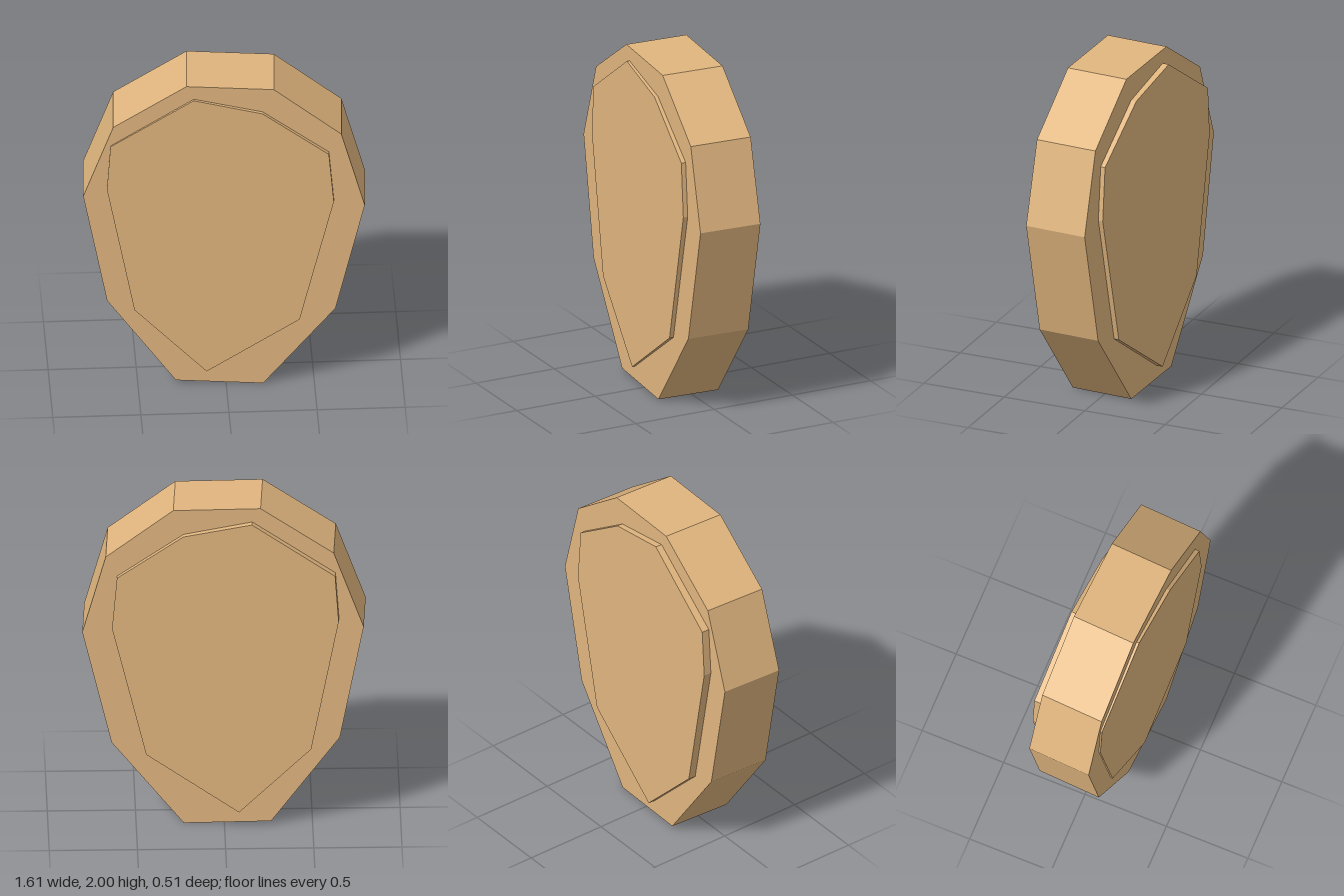
import * as THREE from 'three';

const material = new THREE.MeshStandardMaterial({ color: 0xe0b57e, flatShading: true });

// A flat-sided slab extruded from a polygon, centred on its own mid-plane and turned about y
function slab(name, outline, thickness, turn, z) {
  const shape = new THREE.Shape(outline.map(([x, y]) => new THREE.Vector2(x, y)));
  const geometry = new THREE.ExtrudeGeometry(shape, { depth: thickness, bevelEnabled: false });
  geometry.translate(0, 0, -thickness / 2);
  const mesh = new THREE.Mesh(geometry, material);
  mesh.name = name;
  mesh.rotation.y = turn;
  mesh.position.z = z;
  return mesh;
}

export function createModel() {
  const group = new THREE.Group();
  group.name = 'facetedDisc';

  // Wide outer body
  group.add(slab('outerBody', [
    [-0.215, 2], [0.28, 1.98], [0.663, 1.68], [0.796, 1.2], [0.63, 0.505],
    [0.22, 0], [-0.275, 0.02], [-0.665, 0.557], [-0.8, 1.26], [-0.63, 1.725],
  ], 0.373, -0.053, 0.007));

  // Thicker core, turned slightly more, standing proud of both faces
  group.add(slab('innerCore', [
    [-0.17, 1.915], [0.22, 1.83], [0.596, 1.56], [0.624, 1.24], [0.43, 0.445],
    [-0.097, 0.09], [-0.506, 0.5], [-0.662, 1.31], [-0.642, 1.6],
  ], 0.428, -0.067, -0.002));

  return group;
}
